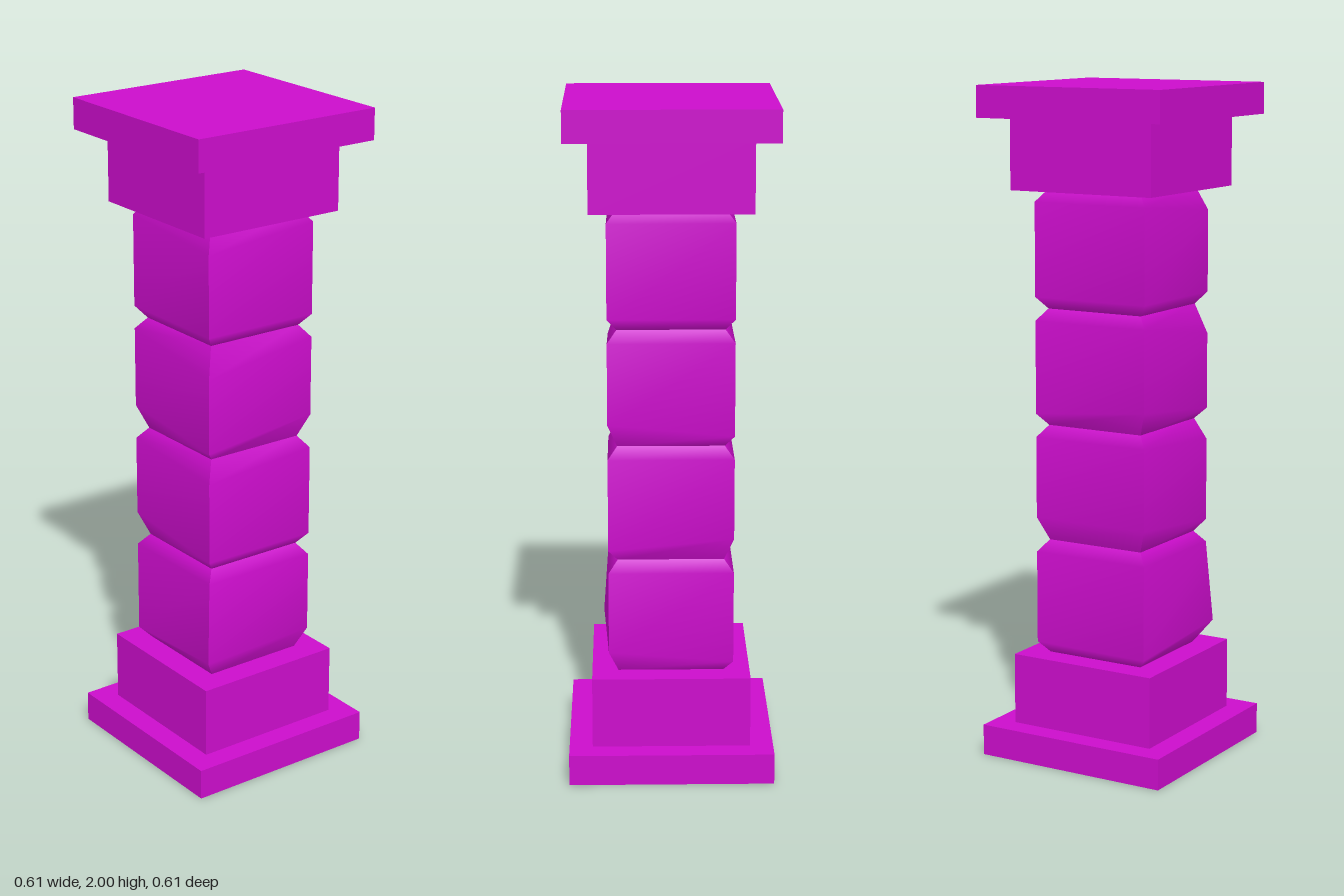
import * as THREE from 'three';
import { mergeGeometries } from 'three/addons/utils/BufferGeometryUtils.js';

const HALF = 0.185; // half width of a stone's body
const NECK = 0.157; // half width where two stones meet
// Corner order, seen from above: front right, back right, back left, front left
const CORNERS = [[1, 1], [1, -1], [-1, -1], [-1, 1]];

// One strip of quads with its own vertices, so edges between strips stay sharp
function strip(columnA, columnB) {
  const geometry = new THREE.BufferGeometry();
  const points = columnA.flatMap((p, i) => [...p, ...columnB[i]]);
  const index = [];
  for (let i = 0; i < columnA.length - 1; i++) {
    const k = i * 2;
    index.push(k, k + 1, k + 3, k, k + 3, k + 2);
  }
  geometry.setAttribute('position', new THREE.Float32BufferAttribute(points, 3));
  geometry.setIndex(index);
  geometry.computeVertexNormals();
  return geometry;
}

// A square stone whose chamfer height varies from corner to corner
function stoneGeometry({ y0, y1, low, high, bulge = 0 }) {
  const columns = CORNERS.map(([sx, sz], i) => {
    const lowHalf = HALF + (i === 0 ? bulge : 0);
    return [
      [NECK, y0],
      [lowHalf, y0 + low[i]],
      [HALF, y1 - high[i]],
      [NECK, y1],
    ].map(([r, y]) => [sx * r, y, sz * r]);
  });
  const [a, b, c, d] = columns;
  const sides = columns.map((column, i) => strip(column, columns[(i + 1) % 4]));
  const top = strip([a[3], d[3]], [b[3], c[3]]);
  const bottom = strip([a[0], b[0]], [d[0], c[0]]);
  return mergeGeometries([...sides, top, bottom]);
}

export function createModel() {
  const group = new THREE.Group();
  const material = new THREE.MeshStandardMaterial({ color: 0xcc0dcc });

  const add = (name, geometry) => {
    const mesh = new THREE.Mesh(geometry, material);
    mesh.name = name;
    group.add(mesh);
    return mesh;
  };
  const slab = (name, half, y0, y1) => {
    const mesh = add(name, new THREE.BoxGeometry(half * 2, y1 - y0, half * 2));
    mesh.position.y = (y0 + y1) / 2;
  };

  // Stepped base and matching capital
  slab('basePlinth', 0.304, 0, 0.093);
  slab('baseBlock', 0.235, 0.093, 0.307);
  slab('capitalBlock', 0.235, 1.698, 1.907);
  slab('capitalSlab', 0.304, 1.907, 2);

  // Four worn stones stacked into the shaft
  const stones = [
    { y0: 0.307, y1: 0.655, low: [0.065, 0.065, 0.035, 0.03], high: [0.035, 0.035, 0.035, 0.035], bulge: 0.017 },
    { y0: 0.655, y1: 1.003, low: [0.035, 0.035, 0.07, 0.07], high: [0.065, 0.035, 0.035, 0.035] },
    { y0: 1.003, y1: 1.35, low: [0.03, 0.07, 0.035, 0.07], high: [0.09, 0.035, 0.035, 0.035] },
    { y0: 1.35, y1: 1.698, low: [0.035, 0.035, 0.035, 0.035], high: [0.07, 0.035, 0.035, 0.035] },
  ];
  stones.forEach((stone, i) => add(`shaftStone${i + 1}`, stoneGeometry(stone)));

  return group;
}
